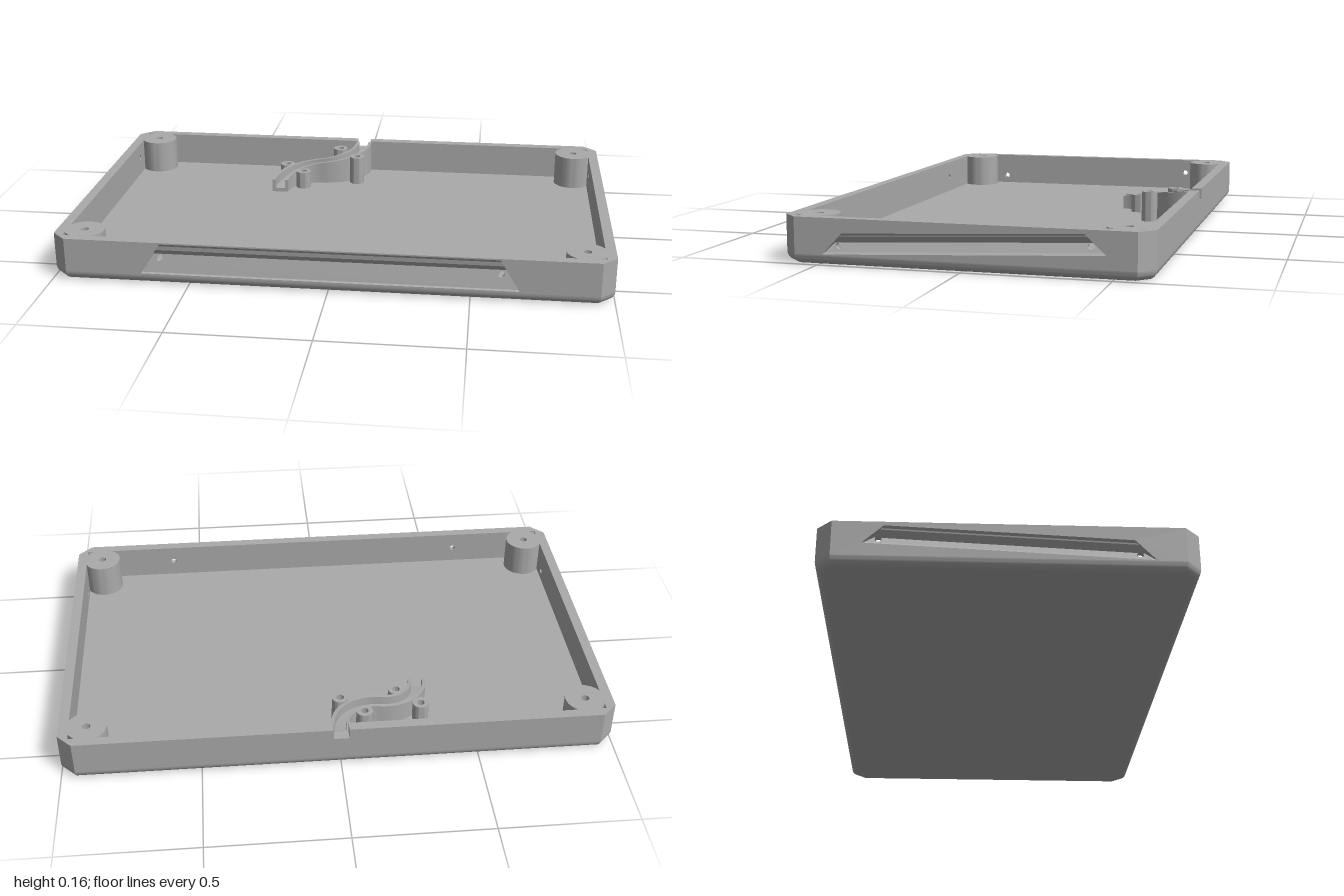
import * as THREE from 'three';
import { mergeGeometries, toCreasedNormals } from 'three/addons/utils/BufferGeometryUtils.js';

const HX = 1, HZ = 0.632, TOP = 0.16, FLOOR = 0.03, WALL = 0.037;
const CHAMFER = 0.052, ROUND = 0.034, NOTCH = 0.028, NOTCH_Y = 0.12;
const IX = HX - WALL, IZ = HZ - WALL;

const grey = new THREE.MeshStandardMaterial({ color: 0xaaaaaa, side: THREE.DoubleSide });
grey.name = 'grey plastic';

function add(parent, name, geometry) {
  const mesh = new THREE.Mesh(geometry, grey);
  mesh.name = name;
  parent.add(mesh);
  return mesh;
}

const poly = (pts) => new THREE.Shape(pts.map(([x, y]) => new THREE.Vector2(x, y)));
const circle = (x, y, r) => new THREE.Path().absarc(x, y, r, 0, Math.PI * 2, true);

// Surface through rows of 3D points; corners sharper than about 35 degrees stay sharp
function grid(rows) {
  const pos = [], index = [], n = rows[0].length;
  rows.forEach((row) => row.forEach((p) => pos.push(...p)));
  for (let i = 0; i < rows.length - 1; i++) {
    for (let j = 0; j < n - 1; j++) {
      const a = i * n + j, b = a + 1, c = a + n, d = c + 1;
      index.push(a, b, d, a, d, c);
    }
  }
  const g = new THREE.BufferGeometry();
  g.setAttribute('position', new THREE.Float32BufferAttribute(pos, 3));
  g.setIndex(index);
  return toCreasedNormals(g, 0.6);
}

// Octagonal outline of the case, moved inwards by r
function outline(r) {
  const x = HX - r, z = HZ - r, c = CHAMFER - r * (2 - Math.SQRT2);
  return [[x - c, z], [x, z - c], [x, c - z], [x - c, -z],
    [c - x, -z], [-x, c - z], [-x, z - c], [c - x, z]];
}

// Outer panel with a stepped trapezoid recess, two screw holes and the inner wall behind
function recessedWall(name, half, inner, r) {
  const wall = new THREE.Group();
  wall.name = name;
  const sh = (u, v) => v + r.shear * u;
  const halfAt = (v) => r.wide + (r.narrow - r.wide) * (v - r.v0) / (r.v1 - r.v0);
  const steps = r.profile;
  const trapezoid = (a, b) => [[-halfAt(a), a], [halfAt(a), a], [halfAt(b), b], [-halfAt(b), b]]
    .map(([u, v]) => [u, sh(u, v)]);
  const screws = [-1, 1].map((s) => [s * r.hole[0], sh(s * r.hole[0], r.hole[1])]);

  const face = poly([[-half, ROUND], [half, ROUND], [half, TOP], [-half, TOP]]);
  face.holes.push(poly(trapezoid(r.v0, r.v1)));
  add(wall, 'outerFace', new THREE.ShapeGeometry(face));

  // Lower sloping plane of the recess
  const [[va, da], [vb, db]] = [steps[1], steps[2]];
  const slope = poly(trapezoid(va, vb));
  screws.forEach(([u, v]) => slope.holes.push(circle(u, v, 0.011)));
  const slopeGeo = new THREE.ShapeGeometry(slope, 16);
  const p = slopeGeo.attributes.position;
  for (let i = 0; i < p.count; i++) {
    const v = p.getY(i) - r.shear * p.getX(i);
    p.setZ(i, -(da + (db - da) * (v - va) / (vb - va)));
  }
  slopeGeo.computeVertexNormals();
  add(wall, 'recessSlope', slopeGeo);

  // Ledge below and overhanging steps above
  const row = ([v, d]) => [-1, 1].map((s) => [s * halfAt(v), sh(s * halfAt(v), v), -d]);
  add(wall, 'recessSteps', mergeGeometries([
    grid(steps.slice(0, 2).map(row)), ...[2, 3, 4].map((i) => grid([row(steps[i]), row(steps[i + 1])])),
  ]));

  // Recess ends
  for (const s of [-1, 1]) {
    const rows = steps.map(([v, d]) => {
      const u = s * halfAt(v);
      return [[u, sh(u, v), s > 0 ? 0 : -d], [u, sh(u, v), s > 0 ? -d : 0]];
    });
    add(wall, 'recessEnd', grid(rows));
  }

  // Inner wall face and screw bores
  const inside = poly([[-inner, FLOOR], [inner, FLOOR], [inner, TOP], [-inner, TOP]]);
  screws.forEach(([u, v]) => inside.holes.push(circle(u, v, 0.011)));
  add(wall, 'innerFace', new THREE.ShapeGeometry(inside, 16)).position.z = -WALL;
  for (const [u, v] of screws) {
    const bore = new THREE.CylinderGeometry(0.011, 0.011, 0.02, 24, 1, true).rotateX(Math.PI / 2);
    add(wall, 'screwBore', bore).position.set(u, v, -WALL + 0.01);
  }
  return wall;
}

// Upright hollow post
function post(parent, name, x, z, radius, bore, top) {
  const s = new THREE.Shape().absarc(0, 0, radius, 0, Math.PI * 2);
  s.holes.push(circle(0, 0, bore));
  const g = new THREE.ExtrudeGeometry(s, { depth: top - FLOOR, bevelEnabled: false, curveSegments: 28 });
  add(parent, name, toCreasedNormals(g.rotateX(-Math.PI / 2), 0.6)).position.set(x, FLOOR, z);
}

export function createModel() {
  const model = new THREE.Group();
  model.name = 'caseTray';

  // Front and side walls
  const front = recessedWall('frontWall', HX - CHAMFER, IX, {
    v0: 0.04, v1: 0.155, wide: 0.67, narrow: 0.6, shear: 0, hole: [0.605, 0.094],
    profile: [[0.04, 0], [0.043, 0.008], [0.109, 0.025], [0.129, 0.01], [0.145, 0.008], [0.155, 0]],
  });
  front.position.z = HZ;
  model.add(front);
  for (const s of [1, -1]) {
    const side = recessedWall(s > 0 ? 'leftWall' : 'rightWall', HZ - CHAMFER, IZ, {
      v0: 0.058, v1: 0.128, wide: 0.48, narrow: 0.41, shear: s * 0.045, hole: [0.428, 0.083],
      profile: [[0.058, 0], [0.066, 0.008], [0.095, 0.025], [0.116, 0.008], [0.121, 0.007], [0.128, 0]],
    });
    side.position.x = s * HX;
    side.rotation.y = s * Math.PI / 2;
    model.add(side);
  }

  // Back wall with cable notch
  const notched = (half, y) => new THREE.ShapeGeometry(poly([[-half, y], [half, y], [half, TOP],
    [NOTCH, TOP], [NOTCH, NOTCH_Y], [-NOTCH, NOTCH_Y], [-NOTCH, TOP], [-half, TOP]]));
  add(model, 'backWallOuter', notched(HX - CHAMFER, ROUND).rotateY(Math.PI)).position.z = -HZ;
  add(model, 'backWallInner', notched(IX, FLOOR)).position.z = -IZ;
  add(model, 'notchLining', grid([-IZ, -HZ].map((z) => [[-NOTCH, TOP, z], [-NOTCH, NOTCH_Y, z],
    [NOTCH, NOTCH_Y, z], [NOTCH, TOP, z]])));

  // Chamfered vertical corners
  for (const sx of [-1, 1]) {
    for (const sz of [-1, 1]) {
      const g = new THREE.PlaneGeometry(CHAMFER * Math.SQRT2, TOP - ROUND);
      const corner = add(model, 'cornerFace', g);
      corner.position.set(sx * (HX - CHAMFER / 2), (TOP + ROUND) / 2, sz * (HZ - CHAMFER / 2));
      corner.rotation.y = Math.atan2(sx, sz);
    }
  }

  // Rounded lower edge, one strip for each side of the octagon
  const rings = [];
  for (let i = 0; i <= 8; i++) {
    const a = (i / 8) * Math.PI / 2;
    rings.push(outline(ROUND * (1 - Math.sin(a))).map(([x, z]) => [x, ROUND * (1 - Math.cos(a)), z]));
  }
  const strips = rings[0].map((_, k) => grid(rings.map((ring) => [ring[(k + 1) % 8], ring[k]])));
  add(model, 'roundedEdge', mergeGeometries(strips));
  add(model, 'underside', new THREE.ShapeGeometry(poly(outline(ROUND))).rotateX(Math.PI / 2));

  // Inner floor
  const floor = new THREE.PlaneGeometry(IX * 2, IZ * 2).rotateX(-Math.PI / 2);
  add(model, 'floor', floor).position.y = FLOOR;

  // Top rim, open at the notch
  const o = outline(0);
  const rim = poly([[NOTCH, -HZ], o[3], o[2], o[1], o[0], o[7], o[6], o[5], o[4], [-NOTCH, -HZ],
    [-NOTCH, -IZ], [-IX, -IZ], [-IX, IZ], [IX, IZ], [IX, -IZ], [NOTCH, -IZ]].map(([x, z]) => [x, -z]));
  add(model, 'topRim', new THREE.ShapeGeometry(rim).rotateX(-Math.PI / 2)).position.y = TOP;

  // Corner posts
  for (const sx of [-1, 1]) {
    for (const sz of [-1, 1]) post(model, 'cornerPost', sx * 0.9, sz * 0.533, 0.073, 0.015, TOP);
  }

  // S-shaped cable channel sloping down from the notch
  const channel = new THREE.Group();
  channel.name = 'cableChannel';
  model.add(channel);
  const rows = [], N = 32, R = 0.16;
  for (let i = 0; i <= N; i++) {
    const t = i / N, first = t <= 0.5;
    const a = (first ? t * 2 : 2 - t * 2) * Math.PI / 2;
    const x = first ? -R * (1 - Math.cos(a)) : -2 * R + R * (1 - Math.cos(a));
    const z = first ? -IZ + R * Math.sin(a) : -IZ + 2 * R - R * Math.sin(a);
    const nx = Math.cos(a), nz = Math.sin(a);
    const top = 0.157 - 0.075 * t, low = top - 0.036;
    rows.push([[-0.033, FLOOR], [-0.033, top], [-0.02, top], [-0.02, low],
      [0.02, low], [0.02, top], [0.033, top], [0.033, FLOOR]]
      .map(([w, y]) => [x + nx * w, y, z + nz * w]));
  }
  // Each strip runs along the path, so its long edges stay sharp
  const faces = [];
  for (let j = 0; j < 7; j++) faces.push(grid(rows.map((r) => [r[j + 1], r[j]])));
  add(channel, 'channelBody', mergeGeometries(faces));
  const e = rows[N], low = (p) => [p[0], FLOOR, p[2]];
  add(channel, 'channelEnd', mergeGeometries([[0, 1, 2], [3, 3, 4], [5, 5, 6]].map(([, a], k) => {
    const pair = k === 0 ? [e[1], e[2]] : k === 1 ? [e[3], e[4]] : [e[5], e[6]];
    return grid([pair.map(low), pair]);
  })));

  // Clamp screw bosses beside the channel
  [[-0.313, -0.436, 0.1], [-0.094, -0.522, 0.15], [-0.232, -0.35, 0.1], [-0.013, -0.433, 0.145]]
    .forEach(([x, z, top]) => post(channel, 'screwBoss', x, z, 0.03, 0.014, top));

  return model;
}
